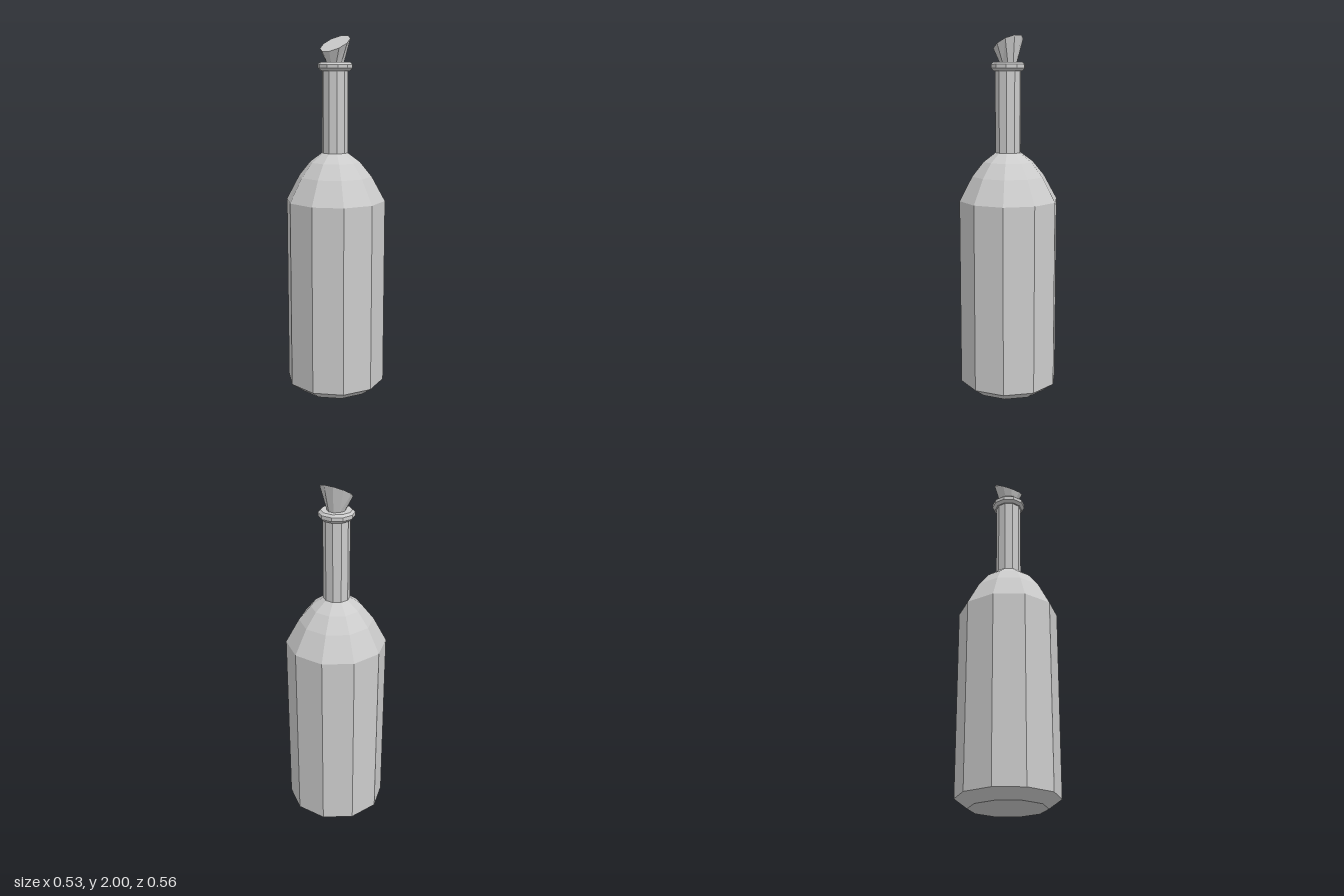
import * as THREE from 'three';

const SIDES = 10;

// Move every vertex by a rule
function reshape(geometry, rule) {
  const pos = geometry.attributes.position;
  const v = new THREE.Vector3();
  for (let i = 0; i < pos.count; i++) {
    rule(v.fromBufferAttribute(pos, i));
    pos.setXYZ(i, v.x, v.y, v.z);
  }
  geometry.computeVertexNormals();
  return geometry;
}

function lathe(profile) {
  return new THREE.LatheGeometry(profile.map(([r, y]) => new THREE.Vector2(r, y)), SIDES);
}

export function createModel() {
  const group = new THREE.Group();
  group.name = 'bottle';
  const material = new THREE.MeshStandardMaterial({ color: 0xcccccc, flatShading: true });
  const add = (name, geometry) => {
    const mesh = new THREE.Mesh(geometry, material);
    mesh.name = name;
    group.add(mesh);
  };

  // The upper bottle leans very slightly towards -x
  const lean = (v) => { v.x -= 0.004 * THREE.MathUtils.clamp((v.y - 1.1) / 0.265, 0, 1); };

  // Chamfered base, straight wall and rounded shoulder
  add('body', reshape(lathe([
    [0, 0], [0.21, 0], [0.278, 0.05], [0.278, 1.1],
    [0.205, 1.235], [0.14, 1.315], [0.072, 1.365],
  ]), lean));

  // Straight neck
  add('neck', reshape(lathe([[0.072, 1.365], [0.072, 1.82]]), lean));

  // Bevelled ring around the mouth
  add('collar', reshape(lathe([
    [0.06, 1.81], [0.08, 1.81], [0.096, 1.825], [0.096, 1.845], [0.083, 1.857], [0, 1.857],
  ]), lean));

  // Flared stopper cut off at a slant, rising towards +x
  const stopper = new THREE.CylinderGeometry(1, 1, 1, SIDES);
  add('stopper', reshape(stopper, (v) => {
    if (v.y > 0) {
      v.set(v.x * 0.075 - 0.003, 0, v.z * 0.09);
      v.y = 1.958 + v.x * 0.6;
    } else {
      v.set(v.x * 0.05 - 0.002, 1.85, v.z * 0.045);
    }
  }));

  return group;
}
